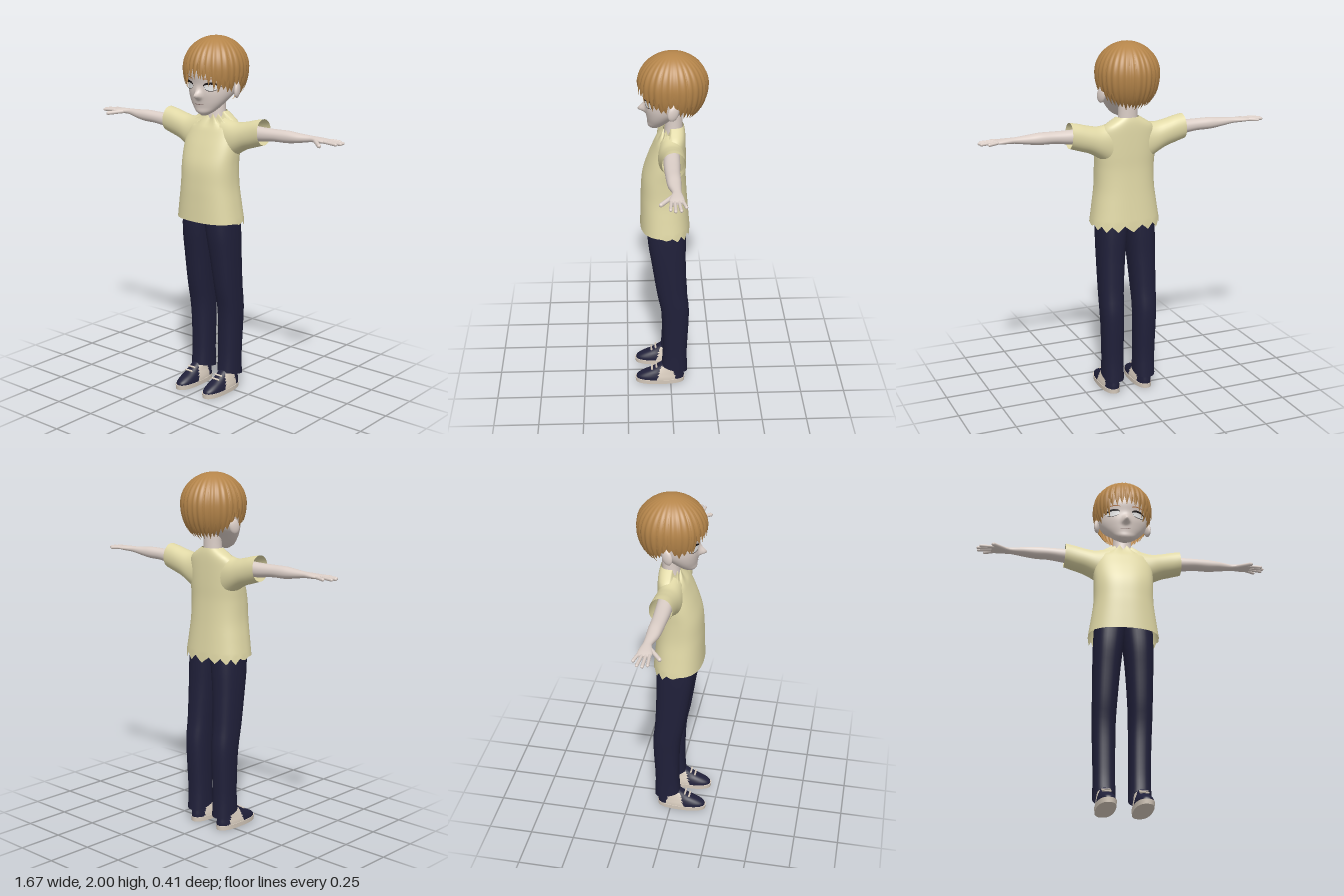
import * as THREE from 'three';

const mat = (name, color, side = THREE.FrontSide) => {
  const m = new THREE.MeshStandardMaterial({ color, side });
  m.name = name;
  return m;
};

// Closed-around-u grid; v runs along the part. pick(x, y, z) chooses a material group.
function grid(nu, nv, fn, { capStart, capEnd, pick } = {}) {
  const pos = [], buckets = [[], []];
  for (let j = 0; j <= nv; j++)
    for (let i = 0; i < nu; i++) pos.push(...fn(i / nu, j / nv, i));
  const P = k => pos.slice(k * 3, k * 3 + 3);
  for (let j = 0; j < nv; j++)
    for (let i = 0; i < nu; i++) {
      const a = j * nu + i, b = j * nu + (i + 1) % nu, c = a + nu, d = b + nu;
      const A = P(a), D = P(d);
      const g = pick ? pick(...A.map((q, k) => (q + D[k]) / 2)) : 0;
      buckets[g].push(a, c, b, b, c, d);
    }
  const cap = (j, flip) => {
    const base = pos.length / 3, mid = [0, 0, 0];
    for (let i = 0; i < nu; i++) {
      const p = P(j * nu + i);
      pos.push(...p);
      p.forEach((q, k) => { mid[k] += q / nu; });
    }
    pos.push(...mid);
    for (let i = 0; i < nu; i++) {
      const a = base + i, b = base + (i + 1) % nu;
      buckets[0].push(base + nu, ...(flip ? [b, a] : [a, b]));
    }
  };
  if (capStart) cap(0, false);
  if (capEnd) cap(nv, true);
  const geo = new THREE.BufferGeometry();
  geo.setAttribute('position', new THREE.Float32BufferAttribute(pos, 3));
  geo.setIndex([...buckets[0], ...buckets[1]]);
  if (pick) {
    geo.addGroup(0, buckets[0].length, 0);
    geo.addGroup(buckets[0].length, buckets[1].length, 1);
  }
  geo.computeVertexNormals();
  return geo;
}

// Smooth lookup in rows [s, aMin, aMax, bMin, bMax] at station s.
function at(rows, s) {
  let i = 0;
  while (i < rows.length - 2 && s > rows[i + 1][0]) i++;
  const p = rows[i], q = rows[i + 1], h = q[0] - p[0], t = (s - p[0]) / h;
  const o = rows[i - 1] || p, r = rows[i + 2] || q;
  return p.map((_, k) => {
    const m0 = (q[k] - o[k]) / (q[0] - o[0]) * h, m1 = (r[k] - p[k]) / (r[0] - p[0]) * h;
    return (2 * t ** 3 - 3 * t * t + 1) * p[k] + (t ** 3 - 2 * t * t + t) * m0
      + (3 * t * t - 2 * t ** 3) * q[k] + (t ** 3 - t * t) * m1;
  });
}

// Superellipse loft along y (a = x, b = z) or along x (a = y, b = z).
function loft(rows, { axis = 'y', nu = 32, nv = 24, e = 2, tweak, ...opts } = {}) {
  const s0 = rows[0][0], s1 = rows[rows.length - 1][0];
  const pw = c => Math.sign(c) * Math.abs(c) ** (2 / e);
  return grid(nu, nv, (u, v, i) => {
    const s = s0 + (s1 - s0) * v, [, a0, a1, b0, b1] = at(rows, s), th = u * Math.PI * 2;
    const a = (a0 + a1) / 2 + (a1 - a0) / 2 * pw(Math.cos(th));
    const w = (b1 - b0) / 2 * pw(Math.sin(th)), b = (b0 + b1) / 2;
    const p = axis === 'y' ? [a, s, b + w] : [s, a, b - w];
    if (tweak) tweak(p, v, i);
    return p;
  }, opts);
}

function mirrored(geo) {
  const g = geo.clone().scale(-1, 1, 1), ix = g.index.array;
  for (let k = 0; k < ix.length; k += 3) [ix[k], ix[k + 1]] = [ix[k + 1], ix[k]];
  return g;
}

const tooth = (i, n) => Math.abs((i % n) / (n / 2) - 1);
const rand = k => { const s = Math.sin(k * 12.9898 + 4.1) * 43758.5453; return s - Math.floor(s); };

export function createModel() {
  const model = new THREE.Group();
  const skin = mat('skin', 0xdccfc8), hair = mat('hair', 0xb5854a, THREE.DoubleSide);
  const cloth = mat('shirt cloth', 0xe0d8a6, THREE.DoubleSide);
  const navy = mat('navy cloth', 0x20203a, THREE.DoubleSide), beige = mat('sole beige', 0xd9cdbf);
  const white = mat('eye white', 0xf4f4f4), black = mat('lash black', 0x1c1718);
  const browMat = mat('brow', 0xb0703c), lip = mat('lip line', 0x8d7570);
  const add = (name, geo, material) => {
    const m = new THREE.Mesh(geo, material);
    m.name = name;
    model.add(m);
  };
  const pair = (name, geo, material) => {
    add('left' + name, geo, material);
    add('right' + name, mirrored(geo), material);
  };

  // Head with a small pointed nose
  const headRows = [
    [1.58, -0.015, 0.015, 0.07, 0.1], [1.597, -0.048, 0.048, 0.04, 0.118],
    [1.625, -0.08, 0.08, 0.005, 0.121], [1.66, -0.108, 0.108, -0.04, 0.127],
    [1.7, -0.13, 0.13, -0.1, 0.133], [1.75, -0.142, 0.142, -0.14, 0.133],
    [1.81, -0.146, 0.146, -0.155, 0.14], [1.88, -0.13, 0.13, -0.15, 0.125],
    [1.94, -0.07, 0.07, -0.09, 0.065]];
  const nose = (x, y) => 0.04 * Math.exp(-((x / 0.016) ** 2) - ((y - 1.688) / (y > 1.688 ? 0.03 : 0.014)) ** 2);
  const faceZ = (x, y) => {
    const [, , rx, b, f] = at(headRows, y);
    return (b + f) / 2 + (f - b) / 2 * Math.sqrt(Math.max(0, 1 - (x / rx) ** 2)) + nose(x, y);
  };
  add('head', loft(headRows, { nu: 80, nv: 60, capStart: true, capEnd: true,
    tweak: p => { if (p[2] > 0.05) p[2] += nose(p[0], p[1]); } }), skin);
  add('neck', loft([[1.48, -0.075, 0.075, -0.065, 0.045], [1.56, -0.056, 0.056, -0.066, 0.03],
    [1.72, -0.052, 0.052, -0.07, 0.02]]), skin);
  const ear = new THREE.SphereGeometry(1, 20, 14).scale(0.015, 0.044, 0.03)
    .rotateX(-0.25).rotateY(0.35).translate(0.149, 1.72, -0.012);
  pair('Ear', ear, skin);

  // Painted face details following the face surface
  const patch = (cx, cy, rx, ry, lift) => grid(28, 5, (u, v) => {
    const x = cx + rx * v * Math.cos(u * 2 * Math.PI), y = cy + ry * v * Math.sin(u * 2 * Math.PI);
    return [x, y, faceZ(x, y) + lift];
  });
  const arc = (cx, cy, rx, ry, w) => grid(36, 3, (u, v) => {
    const th = u * 2 * Math.PI, a = Math.PI * (0.5 - 0.5 * Math.cos(th));
    const x = cx + rx * Math.cos(a), y = cy + ry * Math.sin(a) + v * Math.sin(th) * w;
    return [x, y, faceZ(x, y) + 0.005];
  });
  pair('Eye', patch(0.073, 1.741, 0.036, 0.02, 0.003), white);
  pair('UpperLash', arc(0.075, 1.743, 0.041, 0.018, 0.006), black);
  pair('LowerLash', arc(0.073, 1.738, 0.032, -0.018, 0.0015), black);
  pair('Brow', arc(0.073, 1.775, 0.04, 0.012, 0.003), browMat);
  add('mouth', patch(0, 1.643, 0.032, 0.002, 0.003), lip);

  // Hair: two ridged shells with toothed hems, lower behind the ears
  const hemKeys = [[0, 1.84], [0.5, 1.82], [0.85, 1.76], [1.25, 1.735], [1.5, 1.785], [1.85, 1.725],
    [2.4, 1.69], [3.15, 1.68]];
  const hemAt = a => {
    const k = Math.max(1, hemKeys.findIndex(h => h[0] >= a)), [p, q] = [hemKeys[k - 1], hemKeys[k]];
    return p[1] + (q[1] - p[1]) * (a - p[0]) / (q[0] - p[0]);
  };
  const hairShell = (teeth, size, lift, len, seed) => grid(teeth * 6, 26, (u, v, i) => {
    const th = u * 2 * Math.PI, a = Math.acos(Math.max(-1, Math.min(1, Math.sin(th))));
    const k = Math.floor(i / 6), tip = 1 - tooth(i, 6);
    const y = Math.max(1.63, hemAt(a) + lift - tip * len * (0.5 + 0.7 * rand(k + seed)) * (a < 0.8 ? 1.4 : 0.8));
    const phi = Math.acos((y - 1.83) / (y > 1.83 ? 0.17 : 0.22)) * (1 - v);
    const r = size * (1 + 0.035 * (tip - 0.7 + 0.5 * (rand(k * 3 + seed) - 0.5)) * Math.min(1, phi));
    const c = Math.cos(phi), s = Math.sin(phi) * r;
    return [0.17 * s * Math.cos(th), 1.83 + c * (c > 0 ? 0.17 : 0.22), -0.014 + 0.184 * s * Math.sin(th)];
  });
  add('hairUnderLayer', hairShell(38, 0.985, 0, 0.05, 3), hair);
  add('hairTopLayer', hairShell(31, 1.01, 0.045, 0.06, 40), hair);

  // Shirt with ragged collar and torn back hem
  add('shirtBody', loft([
    [1.0, -0.197, 0.197, -0.108, 0.165], [1.1, -0.182, 0.182, -0.099, 0.163],
    [1.2, -0.169, 0.169, -0.091, 0.16], [1.31, -0.167, 0.167, -0.085, 0.15],
    [1.4, -0.17, 0.17, -0.085, 0.121], [1.48, -0.165, 0.165, -0.084, 0.086],
    [1.54, -0.145, 0.145, -0.082, 0.058], [1.575, -0.095, 0.095, -0.078, 0.043],
    [1.595, -0.062, 0.062, -0.072, 0.036]], { nu: 96, nv: 40, e: 2.4,
    tweak: (p, v, i) => {
      const back = Math.min(1, Math.max(0, (0.07 - p[2]) / 0.13));
      if (v === 0) p[1] -= back * 0.042 * tooth(i, 6) * (0.6 + 0.5 * rand(Math.floor(i / 6)));
      if (p[2] > 0) p[1] -= Math.max(0, (v - 0.85) / 0.15) * (0.01 + 0.03 * tooth(i, 8));
    } }), cloth);
  pair('Sleeve', loft([
    [0.08, 1.31, 1.565, -0.07, 0.07], [0.16, 1.37, 1.548, -0.074, 0.066],
    [0.22, 1.405, 1.557, -0.073, 0.058], [0.28, 1.425, 1.572, -0.071, 0.053],
    [0.338, 1.443, 1.582, -0.07, 0.052]], { axis: 'x', e: 2.1,
    tweak: p => { p[0] -= 0.1 * Math.max(0, p[0] - 0.25) * (p[1] - 1.44) / 0.14; } }), cloth);

  // Arms, hands and fingers
  pair('Arm', loft([
    [0.22, 1.455, 1.545, -0.045, 0.042], [0.33, 1.465, 1.541, -0.041, 0.043],
    [0.42, 1.476, 1.541, -0.037, 0.04], [0.5, 1.478, 1.542, -0.038, 0.036],
    [0.56, 1.486, 1.537, -0.036, 0.03], [0.64, 1.5, 1.532, -0.034, 0.012],
    [0.675, 1.502, 1.531, -0.04, 0.02], [0.72, 1.504, 1.528, -0.046, 0.03],
    [0.75, 1.509, 1.523, -0.044, 0.026]], { axis: 'x', nv: 40, e: 2.2, capEnd: true }), skin);
  const finger = (x0, y0, z0, x1, y1, z1, r) => {
    const d = new THREE.Vector3(x1 - x0, y1 - y0, z1 - z0), q = new THREE.Quaternion();
    q.setFromUnitVectors(new THREE.Vector3(0, 1, 0), d.clone().normalize());
    return new THREE.CapsuleGeometry(r, d.length() - r, 5, 10).applyQuaternion(q)
      .translate((x0 + x1) / 2, (y0 + y1) / 2, (z0 + z1) / 2);
  };
  [[-0.037, -0.052, 0.79], [-0.017, -0.026, 0.825], [0.002, 0.002, 0.829], [0.02, 0.026, 0.815]]
    .forEach(([z0, z1, tip], k) => pair('Finger' + (k + 1), finger(0.735, 1.517, z0, tip, 1.513, z1, 0.0085), skin));
  pair('Thumb', finger(0.672, 1.515, 0.008, 0.745, 1.504, 0.073, 0.011), skin);

  // Trousers
  pair('TrouserLeg', loft([
    [0.075, 0.035, 0.156, -0.098, 0.052], [0.2, 0.037, 0.155, -0.094, 0.045],
    [0.4, 0.036, 0.16, -0.103, 0.047], [0.5, 0.035, 0.164, -0.104, 0.056],
    [0.6, 0.031, 0.165, -0.093, 0.076], [0.8, 0.016, 0.167, -0.085, 0.106],
    [0.92, 0.003, 0.167, -0.085, 0.124], [1.04, -0.012, 0.163, -0.083, 0.13]],
  { nu: 36, e: 2.4, capEnd: true,
    tweak: (p, v) => { p[1] += (1 - v) ** 8 * (p[2] + 0.098) * 0.25; } }), navy);

  // Shoes: sole, two-tone upper and laces
  pair('Sole', loft([[0, 0.047, 0.15, -0.08, 0.203], [0.026, 0.045, 0.152, -0.082, 0.206]],
    { nu: 40, nv: 2, e: 2.4, capStart: true, capEnd: true }), beige);
  pair('Shoe', loft([
    [0.02, 0.048, 0.149, -0.078, 0.201], [0.04, 0.049, 0.148, -0.078, 0.194],
    [0.06, 0.053, 0.144, -0.076, 0.163], [0.08, 0.058, 0.14, -0.074, 0.118],
    [0.1, 0.061, 0.136, -0.07, 0.085], [0.13, 0.066, 0.13, -0.066, 0.04]],
  { nu: 64, nv: 22, e: 2.4, capEnd: true,
    pick: (x, y, z) => (Math.abs(z - 0.025) < 0.055 - 0.3 * Math.max(0, y - 0.03) && y < 0.108 ? 1 : 0) }), [navy, beige]);
  [[0.103, 0.083], [0.088, 0.108]].forEach(([y, z], k) =>
    pair('Lace' + (k + 1), new THREE.BoxGeometry(0.05, 0.007, 0.009).rotateX(0.6).translate(0.099, y, z), beige));
  return model;
}
